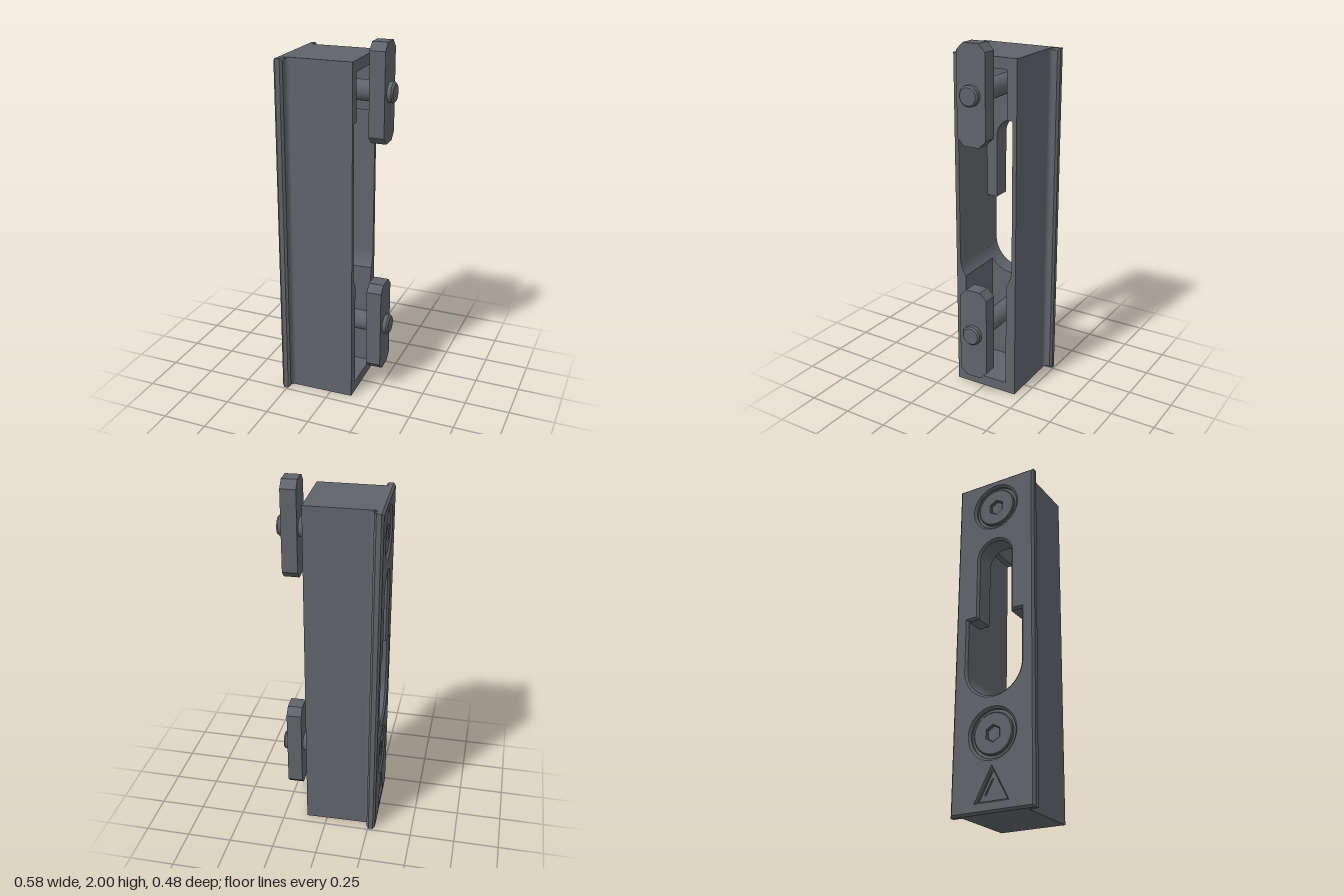
import * as THREE from 'three';
import { toCreasedNormals } from 'three/addons/utils/BufferGeometryUtils.js';

const H = 1.92;          // housing height
const BORE_Y = [0.4, 1.74];  // bolt heights

function polygon(points, Type = THREE.Shape) {
  return new Type(points.map(([u, v]) => new THREE.Vector2(u, v)));
}

// Rectangle symmetric about u = 0
function rect(half, y0, y1) {
  return polygon([[-half, y0], [half, y0], [half, y1], [-half, y1]]);
}

// Wide rounded opening below a narrower rounded slot
function keyhole() {
  const p = new THREE.Path();
  p.moveTo(0.164, 0.77);
  p.lineTo(0.164, 1.06);
  p.lineTo(0.1, 1.06);
  p.lineTo(0.1, 1.42);
  p.absarc(0, 1.42, 0.1, 0, Math.PI, false);
  p.lineTo(-0.1, 1.06);
  p.lineTo(-0.164, 1.06);
  p.lineTo(-0.164, 0.77);
  p.absarc(0, 0.77, 0.164, Math.PI, Math.PI * 2, false);
  return p;
}

// Cavity open to the +x side, narrower at both ends
function cavity() {
  const a = Math.acos(0.13 / 0.164);
  const p = new THREE.Path();
  p.moveTo(-0.13, 0.06);
  p.lineTo(0.13, 0.06);
  p.absarc(0, 0.77, 0.164, -a, 0, false);
  p.lineTo(0.164, 1.6);
  p.lineTo(0.13, 1.6);
  p.lineTo(0.13, 1.86);
  p.lineTo(-0.13, 1.86);
  p.lineTo(-0.13, 1.6);
  p.lineTo(-0.164, 1.6);
  p.absarc(0, 0.77, 0.164, Math.PI, Math.PI + a, false);
  return p;
}

function triangle(s, Type) {
  return polygon([[-0.085 * s, 0.12 - 0.06 * s], [0.085 * s, 0.12 - 0.06 * s], [0, 0.12 + 0.1 * s]], Type);
}

function circle(y, r) {
  return new THREE.Path().absarc(0, y, r, 0, Math.PI * 2, false);
}

// Extrude a side outline from x0 to x1, with optional chamfer
function slab(shape, x0, x1, bevel = 0) {
  const g = new THREE.ExtrudeGeometry(shape, {
    depth: x1 - x0 - 2 * bevel, curveSegments: 24, bevelEnabled: bevel > 0,
    bevelThickness: bevel, bevelSize: bevel, bevelOffset: -bevel, bevelSegments: 1,
  });
  g.translate(0, 0, x0 + bevel);
  g.rotateY(Math.PI / 2);
  return toCreasedNormals(g, 0.5);
}

export function createModel() {
  const model = new THREE.Group();
  const latch = new THREE.Group();
  latch.name = 'strikeBox';
  latch.rotation.y = 0.023;
  latch.position.z = -0.007;
  model.add(latch);

  const metal = new THREE.MeshStandardMaterial({ color: 0x60646a });
  metal.name = 'darkGreyMetal';
  const add = (name, geometry, parent = latch) => {
    const mesh = new THREE.Mesh(geometry, metal);
    mesh.name = name;
    parent.add(mesh);
    return mesh;
  };

  // Chamfered face flange with keyhole, screw recesses and triangular mark
  const face = rect(0.24, 0, H);
  face.holes.push(keyhole(), triangle(1, THREE.Path), ...BORE_Y.map((y) => circle(y, 0.13)));
  add('faceFlange', slab(face, -0.286, -0.237, 0.012));
  add('triangleMark', slab(triangle(0.5), -0.265, -0.277));

  // Inner plate that the bolts pass through
  const plate = rect(0.188, 0, H);
  plate.holes.push(keyhole());
  add('innerPlate', slab(plate, -0.262, -0.17));

  // Deep walls around the cavity
  const walls = rect(0.188, 0, H);
  walls.holes.push(cavity());
  add('housingWalls', slab(walls, -0.17, 0.123));

  // Concave fillets between flange and walls
  const r = 0.022;
  for (const side of [-1, 1]) {
    const s = new THREE.Shape();
    s.moveTo(0, 0);
    s.lineTo(r, 0);
    s.absarc(r, r, r, -Math.PI / 2, -Math.PI, true);
    s.lineTo(0, 0);
    const g = new THREE.ExtrudeGeometry(s, { depth: H - 0.01, bevelEnabled: false, curveSegments: 8 });
    // Stand the strip upright; the far side is the same strip turned a quarter
    g.rotateX(-Math.PI / 2);
    if (side > 0) g.rotateY(-Math.PI / 2);
    g.translate(-0.237, 0.005, side * 0.188);
    add(side > 0 ? 'frontFillet' : 'backFillet', toCreasedNormals(g, 0.5));
  }

  // Bolts with socket heads and clamping nuts
  BORE_Y.forEach((y, i) => {
    const fastener = new THREE.Group();
    fastener.name = i ? 'upperFastener' : 'lowerFastener';
    fastener.position.y = y;
    latch.add(fastener);

    const head = new THREE.Shape().absarc(0, 0, 0.112, 0, Math.PI * 2, false);
    const hex = [];
    for (let k = 0; k < 6; k++) {
      const a = Math.PI / 6 + k * Math.PI / 3;
      hex.push([0.042 * Math.cos(a), 0.042 * Math.sin(a)]);
    }
    head.holes.push(polygon(hex, THREE.Path));
    add('socketHead', slab(head, -0.28, -0.255, 0.005), fastener);

    const profile = [[0, -0.2], [0.055, -0.2], [0.055, 0.279], [0.046, 0.289], [0, 0.289]];
    const bolt = new THREE.LatheGeometry(profile.map(([u, v]) => new THREE.Vector2(u, v)), 32);
    bolt.rotateZ(-Math.PI / 2);
    add('boltShaft', toCreasedNormals(bolt, 0.5), fastener);

    const w = 0.084, h = 0.264, c = 0.04;
    const nut = polygon([
      [-w, -h + c], [-w + c, -h], [w - c, -h], [w, -h + c],
      [w, h - c], [w - c, h], [-w + c, h], [-w, h - c],
    ]);
    add('clampNut', slab(nut, 0.173, 0.257), fastener).position.y = -0.003;
  });

  return model;
}
